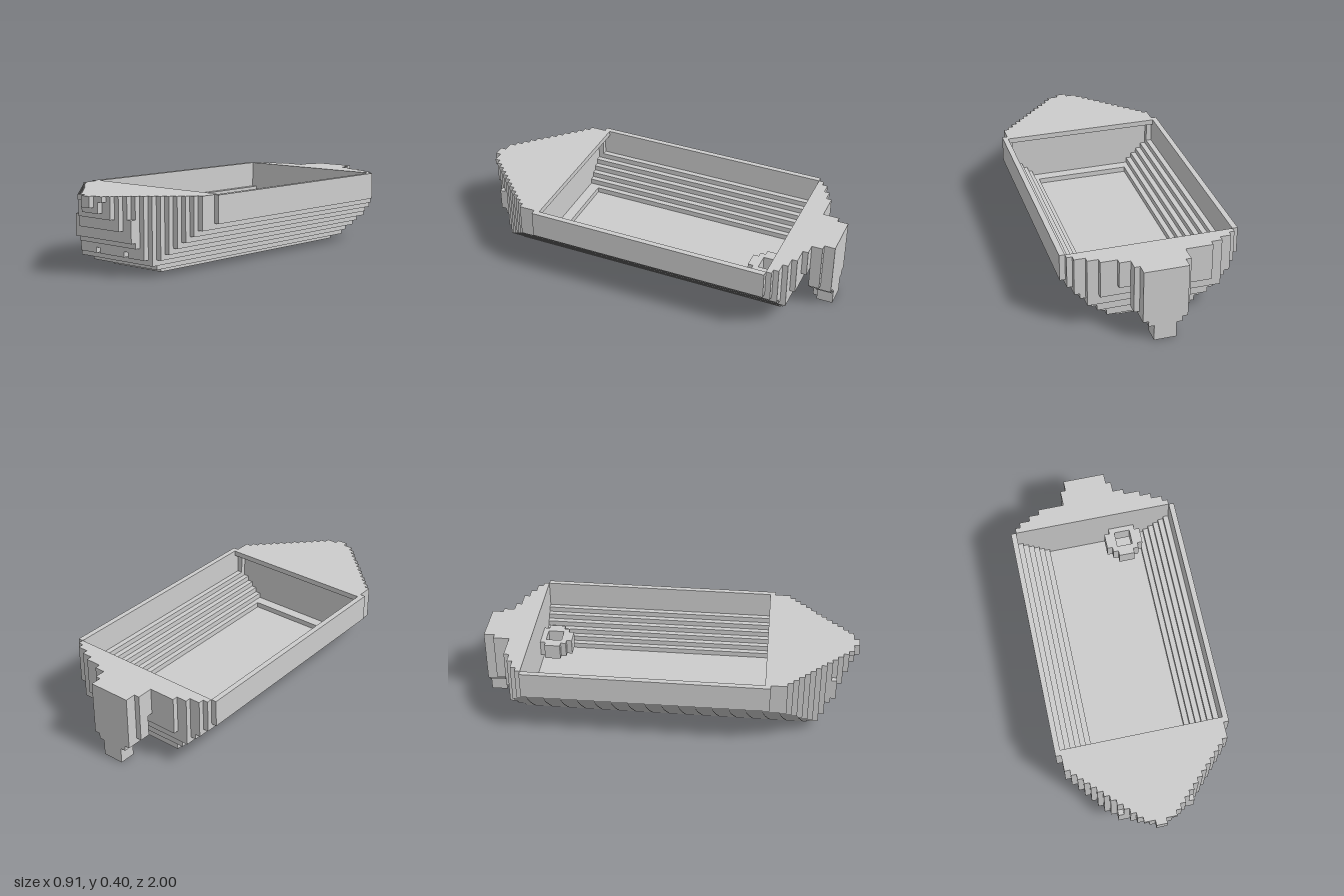
import * as THREE from 'three';
import { mergeGeometries } from 'three/addons/utils/BufferGeometryUtils.js';

const U = 2 / 70; // one block

const grey = new THREE.MeshStandardMaterial({ color: 0xcccccc });
grey.name = 'light grey';

// Box between block coordinates
function block(x0, x1, y0, y1, z0, z1) {
  return new THREE.BoxGeometry((x1 - x0) * U, (y1 - y0) * U, (z1 - z0) * U)
    .translate((x0 + x1) * U / 2, (y0 + y1) * U / 2, (z0 + z1) * U / 2);
}

function part(name, boxes) {
  const mesh = new THREE.Mesh(mergeGeometries(boxes.map(b => block(...b))), grey);
  mesh.name = name;
  return mesh;
}

// Plan outline, stern to bow: [z start, half width]
const plan = [
  [-31, 7], [-30, 10], [-29, 12], [-28, 14], [-27, 15], [-26, 16], [18, 16], [19, 15], [20, 15],
  [22, 14], [23, 13], [24, 12], [25, 11], [26, 10], [27, 9], [28, 8], [29, 7], [30, 7],
  [31, 5], [32, 4], [33, 3], [34, 1], [35, 0],
];
// Per layer from keel to deck: half width, stern end, bow end
const layers = [
  [6, -26, 23], [8, -27, 26], [9, -27, 28], [10, -28, 29], [11, -28, 29], [12, -29, 30], [13, -29, 31],
  [14, -30, 31], [15, -30, 32], [16, -31, 32], [16, -31, 33], [16, -31, 34], [16, -31, 35], [16, -31, 35],
];

// Solid x ranges of the hull in one layer of one outline step
function spans(row, z, width) {
  let w = Math.min(width, layers[row][0]);
  if (z === 30 && row >= 10) w = 6;
  if (z === 33 && row < 13) w = 2;
  if (z === -31) return [[-5, w]];
  // small dents low in the bow
  if (z === 28 && row === 3) return [[-w, -4], [-3, 3], [4, w]].map(([a, b]) => [a, b]);
  // open cockpit, reaching slightly under the foredeck
  const cockpitEnd = row === 13 || row === 3 ? 18 : 20;
  if (row >= 3 && z >= -26 && z < cockpitEnd) {
    const inner = Math.min(layers[row][0] - 1, w - 1);
    return [[-w, -inner], [inner, w]];
  }
  return [[-w, w]];
}

function hull() {
  const boxes = [];
  layers.forEach(([, stern, bow], row) => {
    for (let i = 0; i < plan.length - 1; i++) {
      const z0 = Math.max(plan[i][0], stern), z1 = Math.min(plan[i + 1][0], bow);
      if (z1 <= z0) continue;
      for (const [a, b] of spans(row, plan[i][0], plan[i][1])) boxes.push([a, b, row, row + 1, z0, z1]);
    }
  });
  return part('hull', boxes);
}

export function createModel() {
  const group = new THREE.Group();
  group.name = 'boat';
  group.add(hull());

  // Motor hung on the stern, narrowing downwards
  group.add(part('motor', [
    [-5, 5, 5, 14, -33, -31],
    [-4, 4, 5, 14, -35, -33],
    [-4, 4, 4, 5, -35, -31],
    [-3, 3, 3, 4, -35, -32],
    [-2, 2, 0, 3, -35, -32],
    [-1, 1, 0, 4, -32, -31],
  ]));

  // Ring-shaped helm against the aft bulkhead
  group.add(part('helm', [
    [3, 8, 5, 8, -26, -25],
    [2, 4, 5, 8, -25, -22],
    [7, 9, 5, 8, -25, -22],
    [3, 8, 5, 8, -22, -21],
    [4, 7, 5, 8, -21, -20],
  ]));
  return group;
}
